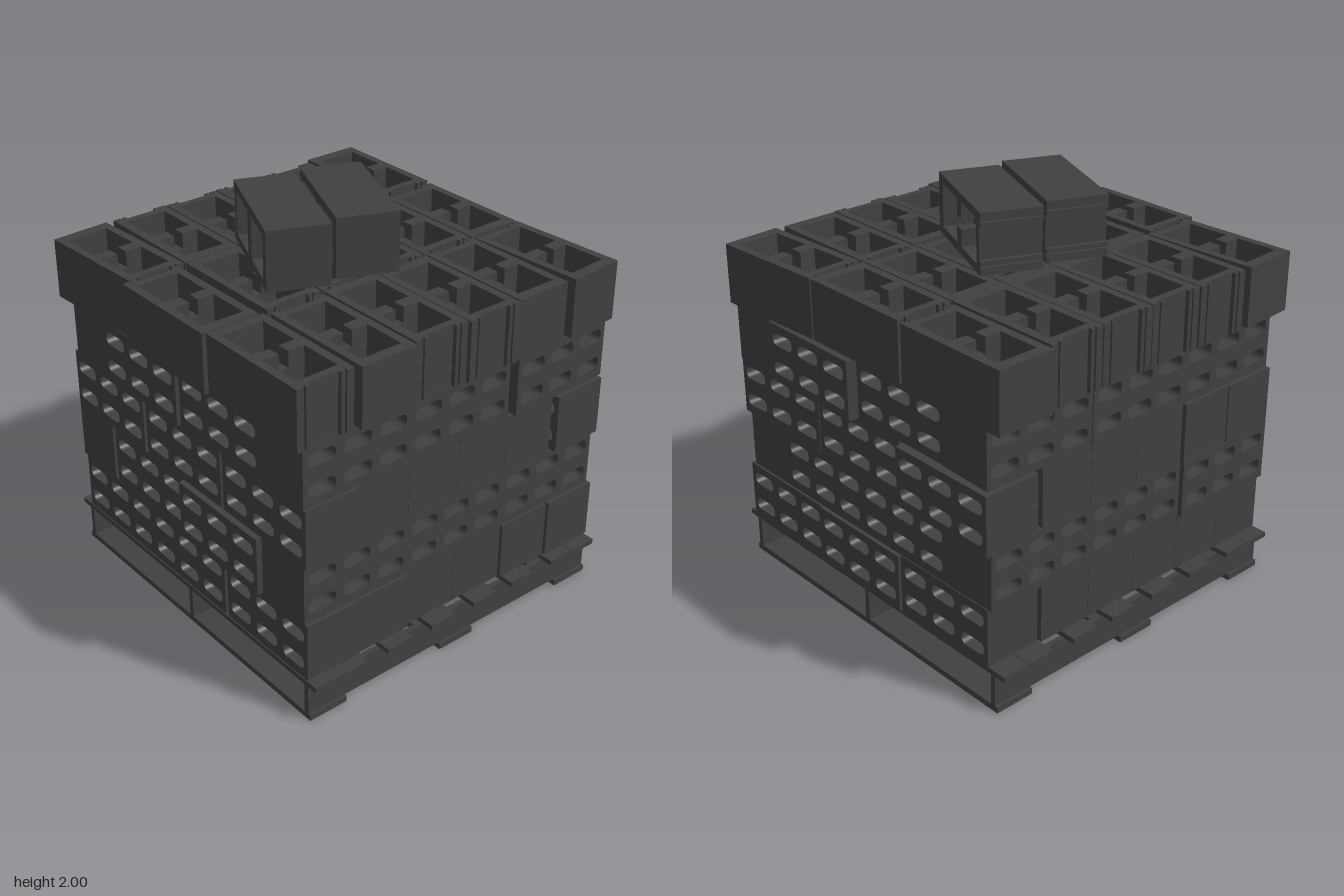
import * as THREE from 'three';

const W = 0.295, L = 0.59, H = 0.2967, BASE = 0.22;
const CX = -0.005, CZ = 0.005;

// Closed path from corner points
function trace(points, Type = THREE.Path) {
  return new Type(points.map(([x, y]) => new THREE.Vector2(x, y)));
}

function rect(x0, x1, y0, y1, Type = THREE.Path) {
  return trace([[x0, y0], [x1, y0], [x1, y1], [x0, y1]], Type);
}

// Slot with rounded corners
function slot(cx, cy, w, h, r) {
  const p = new THREE.Path();
  const corners = [[1, 1, 0], [-1, 1, 0.5], [-1, -1, 1], [1, -1, 1.5]];
  for (const [sx, sy, a] of corners) {
    p.absarc(cx + sx * (w / 2 - r), cy + sy * (h / 2 - r), r, a * Math.PI, (a + 0.5) * Math.PI, false);
  }
  return p;
}

// Block with six slots running through its thickness (length on x, slots on z)
function slottedGeometry() {
  const shape = rect(-L / 2, L / 2, -H / 2, H / 2, THREE.Shape);
  for (const x of [-0.195, 0, 0.195]) {
    for (const y of [-0.072, 0.075]) shape.holes.push(slot(x, y, 0.15, 0.065, 0.028));
  }
  const g = new THREE.ExtrudeGeometry(shape, { depth: W, bevelEnabled: false, curveSegments: 4 });
  return g.translate(0, 0, -W / 2);
}

// Two-cell block: length on z, grooved end at +z, notched web at the top
function cellGeometries() {
  const w = W / 2, e = 0.305, notch = 0.08;
  const ear = [[w, e], [0.11, e], [0.11, e - 0.015], [0.1, e - 0.015], [0.1, e], [0.08, e], [0.08, e - 0.02]];
  const outline = [[-w, -e], [w, -e], ...ear, ...ear.map(([x, y]) => [-x, y]).reverse()];
  const i = 0.032, o = 0.248, c = 0.107, n = 0.024;
  const slab = (holes, depth, top) => {
    const shape = trace(outline, THREE.Shape);
    shape.holes.push(...holes);
    return new THREE.ExtrudeGeometry(shape, { depth, bevelEnabled: false })
      .rotateX(Math.PI / 2).translate(0, top, 0);
  };
  const joined = trace([[-c, -o], [c, -o], [c, -i], [n, -i], [n, i], [c, i],
    [c, o], [-c, o], [-c, i], [-n, i], [-n, -i], [-c, -i]]);
  return [
    slab([rect(-c, c, i, o), rect(-c, c, -o, -i)], H - notch, H / 2 - notch),
    slab([joined], notch, H / 2),
  ];
}

export function createModel() {
  const model = new THREE.Group();
  const mat = new THREE.MeshStandardMaterial({ color: 0x404040 });

  const add = (parent, name, geo, x, y, z, ry = 0) => {
    const m = new THREE.Mesh(geo, mat);
    m.name = name;
    m.position.set(x, y, z);
    m.rotation.y = ry;
    parent.add(m);
    return m;
  };

  // Pallet
  const pallet = new THREE.Group();
  pallet.name = 'pallet';
  model.add(pallet);
  for (const x of [-0.785, -0.005, 0.775]) {
    add(pallet, 'bottomBoard', new THREE.BoxGeometry(0.21, 0.03, 1.84), x, 0.015, 0.005);
  }
  for (const z of [0.898, 0.006, -0.886]) {
    add(pallet, 'stringer', new THREE.BoxGeometry(1.77, 0.16, 0.026), -0.005, 0.11, z);
  }
  for (const x of [-0.818, -0.67, -0.4, -0.133, 0.135, 0.383, 0.655, 0.805]) {
    add(pallet, 'topBoard', new THREE.BoxGeometry(0.147, 0.026, 1.93), x, 0.202, 0.005);
  }

  // Four lower layers; a few blocks sit a little out of line [dx, dz, turn]
  const slotted = slottedGeometry();
  const plain = new THREE.BoxGeometry(L - 0.002, H, W - 0.002);
  const nudges = {
    '0 z 5 0': [0.01, 0.02, 0], '0 z 5 1': [0.02, 0.02, 0], '0 z 5 2': [0.005, 0.02, 0],
    '0 z 4 0': [0, 0.015, 0], '0 z 0 0': [0, 0.02, 0], '0 z 1 0': [0, 0.015, 0],
    '1 z 0 0': [-0.03, 0, 0], '1 x 0 1': [0, -0.025, 0],
    '2 z 5 0': [0.006, 0.025, 0.03], '2 z 5 2': [0.045, -0.02, 0], '2 z 5 1': [0, 0.01, 0],
    '2 z 0 2': [0, -0.025, 0], '2 z 1 2': [0, -0.02, 0], '2 z 0 0': [0, 0.015, 0],
    '3 x 2 0': [0.03, 0.005, 0.04], '3 x 2 1': [0.01, 0, -0.03],
    '3 z 5 0': [0.055, 0, 0], '3 z 0 1': [-0.02, 0, 0],
  };
  for (let layer = 0; layer < 4; layer++) {
    const group = new THREE.Group();
    group.name = 'blockLayer' + (layer + 1);
    model.add(group);
    const place = (axis, i, j, x, z, open) => {
      const [dx, dz, turn] = nudges[`${layer} ${axis} ${i} ${j}`] || [0, 0, 0];
      add(group, open ? 'slottedBlock' : 'innerBlock', open ? slotted : plain,
        CX + x + dx, BASE + H * (layer + 0.5), CZ + z + dz, turn + (axis === 'z' ? Math.PI / 2 : 0));
    };
    const crossed = layer % 2 === 1;
    const rows = crossed ? 2 : 3;
    for (let c = 0; c < 6; c++) {
      for (let r = 0; r < rows; r++) {
        place('z', c, r, (c - 2.5) * W, ((rows - 1) / 2 - r) * L, c === 0 || c === 5);
      }
    }
    // Crosswise rows at the front and back
    if (crossed) {
      for (let c = 0; c < 3; c++) {
        [1, -1].forEach((s, j) => place('x', c, j, (c - 1) * L, s * 2.5 * W, true));
      }
    }
  }

  // Upright two-cell blocks
  const [lower, upper] = cellGeometries();
  const cellBlock = (parent, name) => {
    const b = new THREE.Group();
    b.name = name;
    add(b, 'cellBody', lower, 0, 0, 0);
    add(b, 'notchedRim', upper, 0, 0, 0);
    parent.add(b);
    return b;
  };
  const upright = new THREE.Group();
  upright.name = 'uprightLayer';
  model.add(upright);
  // Per row: x, z, turn for each column, and whether the grooved end faces front
  const rows = [
    { x: [-0.78, -0.46, -0.15, 0.15, 0.455, 0.775], z: [0.6, 0.622, 0.6, 0.615, 0.605, 0.605],
      turn: [0, 0, 0, 0, 0, 0.06], front: [1, 0, 1, 1, 0, 0] },
    { x: [-0.795, -0.453, -0.15, 0.15, 0.452, 0.755], z: [-0.02, -0.02, -0.02, -0.02, -0.02, -0.02],
      turn: [0, 0, 0, 0, 0, 0], front: [0, 1, 1, 1, 1, 0] },
    { x: [-0.77, -0.452, -0.15, 0.153, 0.452, 0.767], z: [-0.635, -0.638, -0.632, -0.635, -0.632, -0.665],
      turn: [0.05, 0, 0, 0, 0, 0], front: [1, 0, 0, 0, 0, 1] },
  ];
  for (const row of rows) {
    row.x.forEach((x, c) => {
      const b = cellBlock(upright, 'uprightBlock');
      b.position.set(x, BASE + H * 4.5, row.z[c]);
      b.rotation.y = row.turn[c] + (row.front[c] ? 0 : Math.PI);
    });
  }

  // Two loose blocks lying on their sides on top
  const basis = new THREE.Matrix4().makeBasis(
    new THREE.Vector3(0, 1, 0),
    new THREE.Vector3(0.919, 0, 0.394),
    new THREE.Vector3(0.394, 0, -0.919));
  for (const [x, z] of [[0.075, 0.018], [-0.25, -0.065]]) {
    const b = cellBlock(model, 'looseBlock');
    b.quaternion.setFromRotationMatrix(basis);
    b.position.set(x, 2 - W / 2, z);
  }

  return model;
}
